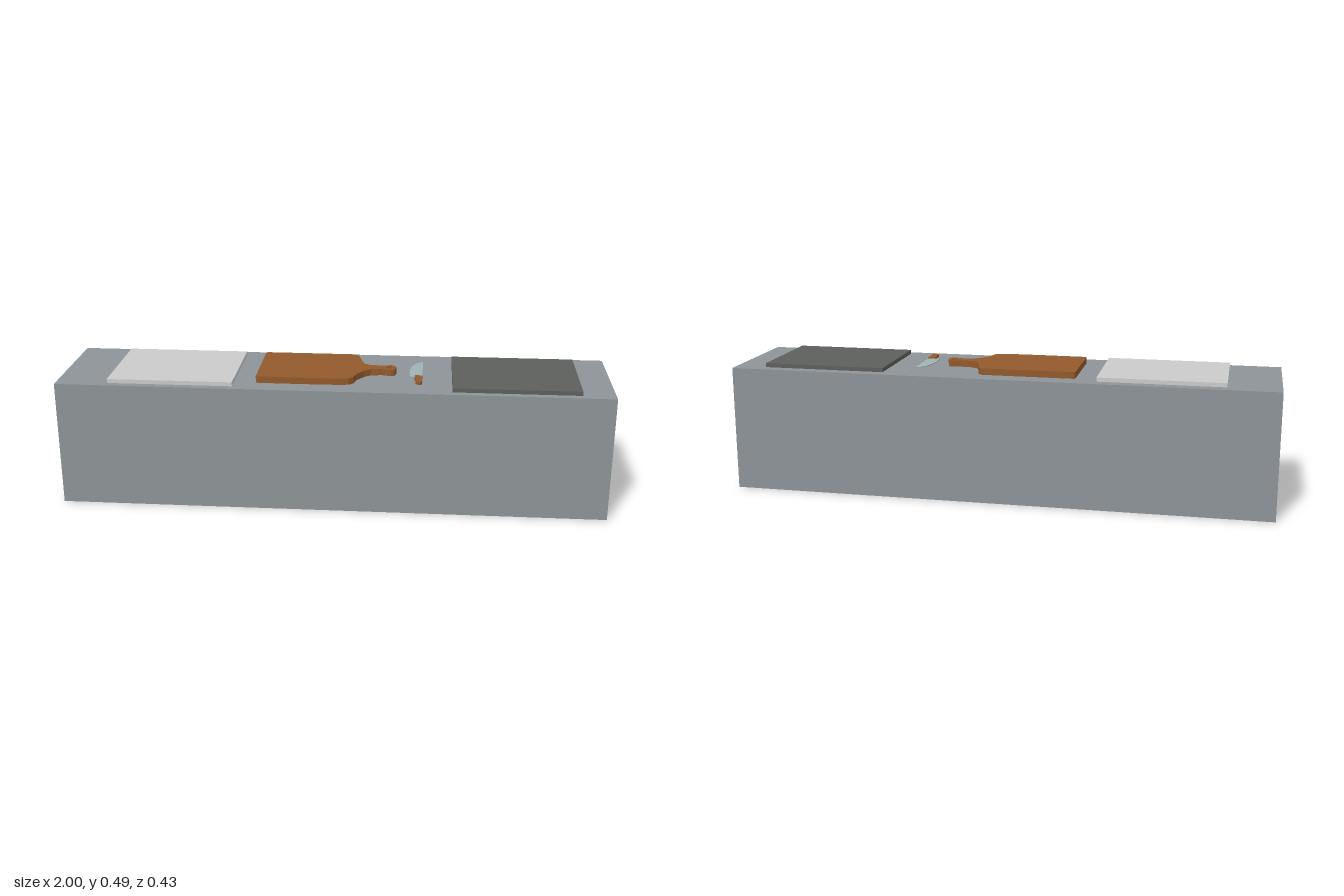
import * as THREE from 'three';

const COUNTER_TOP = 0.463;

const paint = (color) => new THREE.MeshStandardMaterial({ color });
const wood = paint(0x935a2c);

function addBox(parent, name, material, [w, h, d], [x, bottom, z]) {
  const mesh = new THREE.Mesh(new THREE.BoxGeometry(w, h, d), material);
  mesh.position.set(x, bottom + h / 2, z);
  mesh.name = name;
  parent.add(mesh);
}

// Flat slab cut from an outline of [x, z] points seen from above
function addSlab(parent, name, material, outline, bottom, height, hole) {
  const shape = new THREE.Shape(outline.map(([x, z]) => new THREE.Vector2(x, -z)));
  if (hole) {
    shape.holes.push(new THREE.Path().absarc(hole.x, -hole.z, hole.r, 0, Math.PI * 2, true));
  }
  const geometry = new THREE.ExtrudeGeometry(shape, { depth: height, bevelEnabled: false, curveSegments: 5 });
  geometry.rotateX(-Math.PI / 2);
  const mesh = new THREE.Mesh(geometry, material);
  mesh.position.y = bottom;
  mesh.name = name;
  parent.add(mesh);
}

export function createModel() {
  const model = new THREE.Group();
  model.name = 'kitchenCounter';

  // Counter block with a light and a dark panel on top
  addBox(model, 'counter', paint(0x8e9498), [2, COUNTER_TOP, 0.434], [0, 0, 0]);
  addBox(model, 'lightPanel', paint(0xcccccc), [0.455, 0.015, 0.366], [-0.585, COUNTER_TOP, 0.007]);
  addBox(model, 'darkPanel', paint(0x5d5f5d), [0.455, 0.015, 0.366], [0.656, COUNTER_TOP, 0.007]);

  // Cutting board with a necked handle and hanging hole
  addSlab(model, 'cuttingBoard', wood, [
    [-0.278, 0.14], [-0.27, 0.144], [-0.1, 0.145], [0.02, 0.143], [0.058, 0.138], [0.072, 0.125],
    [0.084, 0.085], [0.108, 0.048], [0.132, 0.027], [0.175, 0.022], [0.205, 0.031], [0.219, 0.025],
    [0.225, 0.002], [0.22, -0.018], [0.205, -0.026], [0.175, -0.018], [0.128, -0.022], [0.106, -0.036],
    [0.094, -0.07], [0.079, -0.13], [0.064, -0.146], [-0.272, -0.146], [-0.278, -0.14],
  ], COUNTER_TOP, 0.024, { x: 0.2, z: 0.001, r: 0.011 });

  // Knife lying beside the board
  const knife = new THREE.Group();
  knife.name = 'knife';
  addSlab(knife, 'blade', paint(0xa0b2b5), [
    [0.321, -0.112], [0.321, 0.058], [0.274, 0.058], [0.274, -0.018], [0.28, -0.052], [0.289, -0.08], [0.303, -0.102],
  ], 0.471, 0.003);
  addSlab(knife, 'knifeHandle', wood, [
    [0.294, 0.056], [0.321, 0.056], [0.319, 0.09], [0.321, 0.124], [0.315, 0.134],
    [0.305, 0.134], [0.296, 0.122], [0.297, 0.1], [0.293, 0.082],
  ], 0.468, 0.01);
  model.add(knife);

  return model;
}
